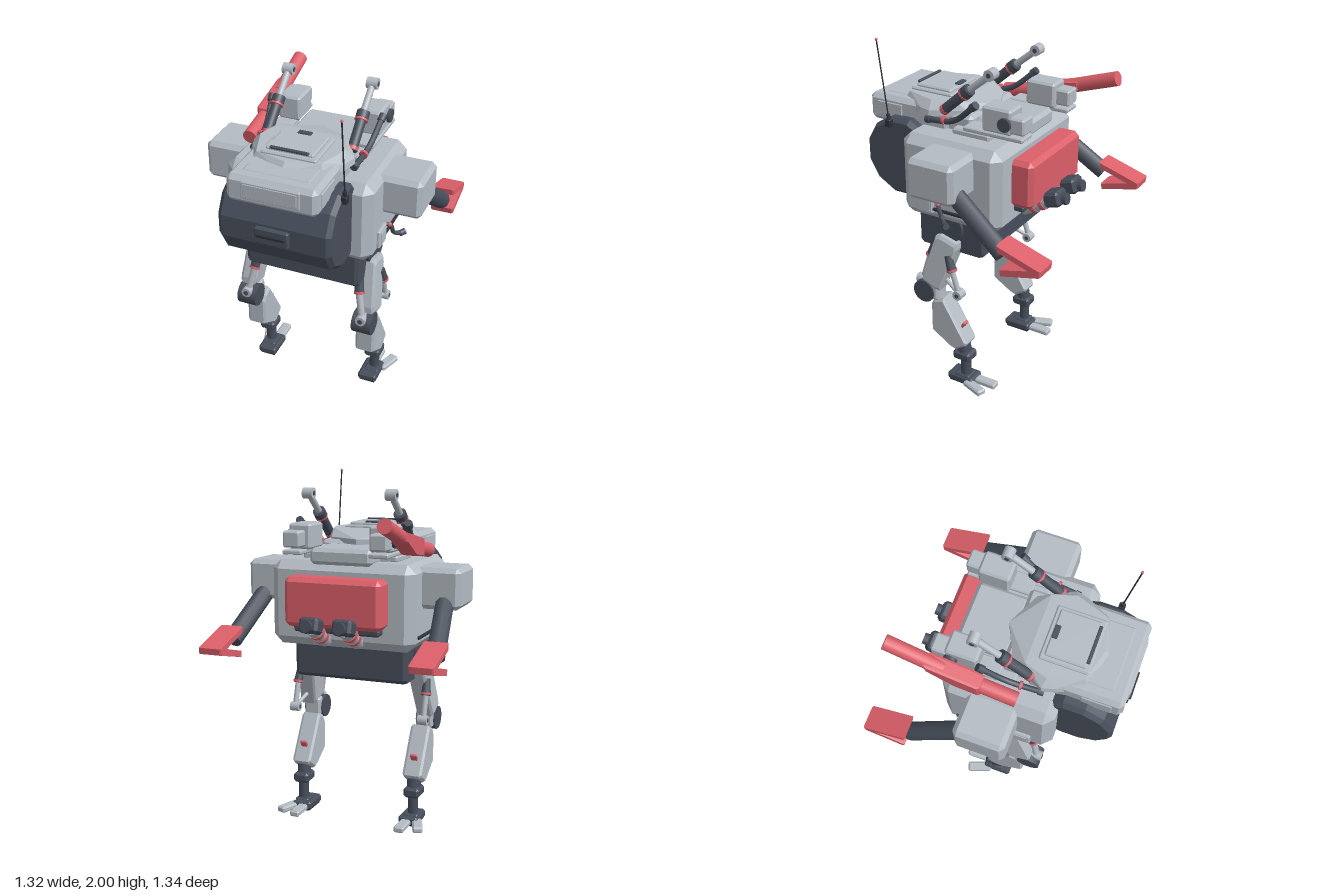
import * as THREE from 'three';
import { ConvexGeometry } from 'three/addons/geometries/ConvexGeometry.js';

const mat = (name, color) => Object.assign(new THREE.MeshStandardMaterial({ color }), { name });
const V = (x, y, z) => new THREE.Vector3(x, y, z);

export function createModel() {
  const model = new THREE.Group();
  const grey = mat('armourGrey', 0xb4bbc3);
  const dark = mat('frameSlate', 0x474e5b);
  const red = mat('accentRed', 0xdc606a);
  const black = mat('ventBlack', 0x2d323b);

  const add = (name, geo, m) => {
    const mesh = new THREE.Mesh(geo, m);
    mesh.name = name;
    model.add(mesh);
    return mesh;
  };
  const hull = (name, m, pts) => add(name, new ConvexGeometry(pts), m);

  // box with every edge chamfered, given by centre and size
  const box = (name, m, [x, y, z], [w, h, d], c = 0.01) => {
    const pts = [];
    for (const i of [-0.5, 0.5]) for (const j of [-0.5, 0.5]) for (const k of [-0.5, 0.5])
      for (let a = 0; a < 3; a++)
        pts.push(V(i * (w - (a === 0 ? 0 : 2 * c)), j * (h - (a === 1 ? 0 : 2 * c)), k * (d - (a === 2 ? 0 : 2 * c))));
    const mesh = hull(name, m, pts);
    mesh.position.set(x, y, z);
    return mesh;
  };

  // convex side profile of [z, y] points spread across x, with bevelled ends
  const slab = (name, m, profile, x0, x1, bevel = 0.012, shrink = 0.86, lean = () => 0) => {
    const n = profile.length;
    const cz = profile.reduce((s, p) => s + p[0], 0) / n, cy = profile.reduce((s, p) => s + p[1], 0) / n;
    const dir = Math.sign(x1 - x0), pts = [];
    for (const [x, k] of [[x0, shrink], [x0 + dir * bevel, 1], [x1 - dir * bevel, 1], [x1, shrink]])
      for (const [z, y] of profile) pts.push(V(x + lean(y), cy + (y - cy) * k, cz + (z - cz) * k));
    return hull(name, m, pts);
  };

  // straight rod between two points
  const rod = (name, m, a, b, r, sides = 12, r2 = r) => {
    const A = V(...a), B = V(...b), d = B.clone().sub(A);
    const geo = new THREE.CylinderGeometry(r2, r, d.length(), sides);
    const mesh = add(name, geo, m);
    mesh.position.copy(A).add(B).multiplyScalar(0.5);
    mesh.quaternion.setFromUnitVectors(V(0, 1, 0), d.normalize());
    return mesh;
  };
  const mix = (a, b, t) => a.map((v, i) => v + (b[i] - v) * t);
  // band around a rod from a to b, at fraction t
  const band = (name, m, a, b, t, r, w = 0.04) => rod(name, m, mix(a, b, t - w), mix(a, b, t + w), r);
  const circle = (n, r, cz, cy, o = 0.5) => Array.from({ length: n }, (_, i) => {
    const a = (i + o) / n * Math.PI * 2;
    return [cz + r * Math.cos(a), cy + r * Math.sin(a)];
  });

  // torso and pelvis
  box('torso', grey, [0, 1.295, 0.025], [0.84, 0.475, 0.62], 0.05);
  slab('pelvis', dark, [[0.28, 1.08], [0.28, 0.87], [0.26, 0.85], [-0.125, 0.85], [-0.145, 0.87], [-0.145, 1.08]], -0.335, 0.335, 0.02, 0.94);
  slab('frontDrum', dark, circle(12, 0.234, 0.41, 1.33), -0.315, 0.315, 0.025, 0.9);
  box('drumHandle', dark, [0, 1.33, 0.64], [0.19, 0.095, 0.035], 0.008);
  box('drumHandleBar', black, [0, 1.335, 0.66], [0.16, 0.02, 0.015], 0.004);

  // head
  box('head', grey, [0, 1.573, 0.39], [0.5, 0.155, 0.52], 0.025);
  box('headRoof', grey, [0, 1.645, 0.42], [0.37, 0.02, 0.32], 0.008);
  box('frontVisorFrame', grey, [0, 1.58, 0.645], [0.33, 0.105, 0.02], 0.008);
  box('frontVisor', grey, [0, 1.58, 0.655], [0.29, 0.075, 0.008], 0.002);
  for (const s of [-1, 1]) box('sideVisor', grey, [s * 0.25, 1.573, 0.51], [0.012, 0.085, 0.165], 0.004);
  box('neckDeck', grey, [0, 1.56, 0.17], [0.46, 0.13, 0.36], 0.02);
  const deck = [];
  for (const s of [-1, 1]) {
    for (const [x, z] of [[0.29, 0.23], [0.25, 0.17], [0.19, 0.04], [0, -0.05], [0.27, 0.3], [0.2, 0.45], [0, 0.52]])
      deck.push(V(s * x, 1.605, z), V(s * x * 0.98, 1.635, z * 0.98));
    for (const [x, z] of [[0.2, 0.11], [0.24, 0.24], [0.18, 0.42], [0, 0.47]]) deck.push(V(s * x, 1.68, z));
  }
  hull('headArmour', grey, deck);
  box('hatchFrame', grey, [0, 1.68, 0.297], [0.31, 0.03, 0.27], 0.008);
  box('hatch', grey, [0, 1.695, 0.297], [0.265, 0.03, 0.225], 0.008);
  box('hatchHandle', dark, [0, 1.712, 0.205], [0.075, 0.014, 0.03], 0.003);
  box('hatchVent', dark, [0, 1.712, 0.41], [0.215, 0.014, 0.018], 0.003);

  // rear deck and backpack
  box('rearDeck', grey, [0, 1.56, -0.14], [0.36, 0.09, 0.29], 0.02);
  box('rearDeckStep', grey, [0, 1.545, -0.03], [0.56, 0.04, 0.23], 0.01);
  box('backpack', red, [0, 1.323, -0.335], [0.56, 0.27, 0.145], 0.025);
  box('backpackPlate', dark, [0, 1.17, -0.31], [0.5, 0.04, 0.07], 0.01);
  for (const s of [-1, 1]) {
    const a = [s * 0.095, 1.1, -0.26], b = [s * 0.095, 1.2, -0.44];
    rod('thrusterPipe', grey, a, b, 0.042);
    for (const t of [0.35, 0.65]) band('thrusterRing', red, a, b, t, 0.046, 0.06);
    box('thruster', dark, [s * 0.095, 1.21, -0.45], [0.11, 0.085, 0.1], 0.015).rotation.x = 0.3;
    rod('thrusterNozzle', dark, [s * 0.095, 1.21, -0.47], [s * 0.095, 1.22, -0.525], 0.033);
  }

  // whip antenna on the left of the drum
  box('antennaBase', black, [0.325, 1.53, 0.465], [0.035, 0.045, 0.035], 0.005);
  rod('antennaMount', black, [0.325, 1.55, 0.465], [0.325, 1.58, 0.469], 0.011);
  rod('antenna', black, [0.325, 1.55, 0.465], [0.325, 1.99, 0.522], 0.004, 6);
  add('antennaTip', new THREE.SphereGeometry(0.008, 8, 6), red).position.set(0.325, 1.992, 0.522);

  // bent exhaust on the right
  rod('exhaustFront', red, [-0.365, 1.575, 0.125], [-0.365, 1.615, -0.1], 0.041, 16);
  slab('exhaustBend', red, [[-0.06, 1.56], [-0.06, 1.66], [-0.36, 1.72], [-0.36, 1.67], [-0.2, 1.58]], -0.41, -0.32, 0.012, 0.9);
  rod('exhaustTail', red, [-0.365, 1.665, -0.27], [-0.365, 1.765, -0.575], 0.041, 16);

  for (const s of [-1, 1]) {
    // rear sensor pods
    box('podShelf', grey, [s * 0.25, 1.585, -0.18], [0.11, 0.025, 0.36], 0.006);
    box('pod', grey, [s * 0.235, 1.665, -0.2], [0.13, 0.14, 0.175], 0.012);
    box('podTail', grey, [s * 0.25, 1.655, -0.32], [0.1, 0.09, 0.09], 0.01);
    rod('podLens', dark, [s * 0.26, 1.658, -0.255], [s * 0.318, 1.658, -0.255], 0.038);

    // raised pistons
    const p = [s * 0.243, 1.635, 0.16], q = [s * 0.243, 1.785, -0.01], tip = [s * 0.243, 1.89, -0.14];
    rod('pistonSleeve', dark, p, q, 0.028);
    band('pistonFoot', red, p, q, 0.06, 0.03);
    band('pistonCollar', dark, p, q, 0.9, 0.036, 0.09);
    band('pistonRing', red, p, q, 0.78, 0.037, 0.025);
    rod('pistonRod', grey, q, tip, 0.019);
    rod('pistonEye', grey, [tip[0] - 0.03, tip[1], tip[2]], [tip[0] + 0.03, tip[1], tip[2]], 0.031, 16);
    rod('pistonPin', dark, [tip[0] - 0.033, tip[1], tip[2]], [tip[0] + 0.033, tip[1], tip[2]], 0.013);

    // bent side struts
    const h0 = [s * 0.285, 1.585, 0.24], h1 = [s * 0.3, 1.615, 0.06], h2 = [s * 0.323, 1.735, -0.09];
    add('strut', new THREE.TubeGeometry(new THREE.CatmullRomCurve3([h0, h1, h2].map(a => V(...a))), 10, 0.016, 10), dark);
    band('strutFoot', dark, h0, h1, 0.07, 0.021, 0.08);
    band('strutRing', red, h0, h1, 0.66, 0.024);
    band('strutTip', dark, h1, h2, 0.95, 0.022, 0.1);

    // shoulders, arms and claws
    box('shoulder', grey, [s * 0.49, 1.395, 0.005], [0.28, 0.225, 0.285], 0.025);
    rod('arm', dark, [s * 0.535, 1.335, -0.08], [s * 0.59, 1.09, -0.42], 0.052, 10);
    slab('upperJaw', red, [[-0.415, 1.17], [-0.42, 1.135], [-0.655, 1.06], [-0.67, 1.09]], s * 0.525, s * 0.66, 0.01, 0.95);
    slab('lowerJaw', red, [[-0.43, 1.035], [-0.437, 1.0], [-0.665, 1.055], [-0.67, 1.09], [-0.64, 1.09]], s * 0.525, s * 0.66, 0.01, 0.95);

    // torso side fittings
    box('sideRail', black, [s * 0.423, 1.135, -0.01], [0.02, 0.016, 0.39], 0.003);
    box('sidePanel', grey, [s * 0.425, 1.16, 0.17], [0.025, 0.11, 0.11], 0.008);
    box('sidePanelCover', grey, [s * 0.438, 1.16, 0.17], [0.008, 0.075, 0.075], 0.002);
    const hose = [[0.42, 1.18, 0.08], [0.445, 1.17, 0.07], [0.455, 1.11, 0.04], [0.49, 1.09, 0.0]];
    add('sideHose', new THREE.TubeGeometry(new THREE.CatmullRomCurve3(hose.map(a => V(s * a[0], a[1], a[2]))), 12, 0.012, 8), dark);
    add('hoseCap', new THREE.SphereGeometry(0.014, 10, 8), red).position.set(s * 0.44, 1.178, 0.075);
    rod('hoseEnd', dark, [s * 0.48, 1.09, 0.01], [s * 0.5, 1.095, -0.015], 0.018);

    // hip and thigh
    rod('hipDisc', dark, [s * 0.29, 1.0, 0.07], [s * 0.355, 1.0, 0.07], 0.088, 16);
    slab('thigh', grey, [[0.14, 0.945], [0.11, 0.955], [0.0, 0.925], [0.0, 0.89], [0.1, 0.615], [0.13, 0.615], [0.22, 0.65], [0.22, 0.69]],
      s * 0.29, s * 0.39, 0.014, 0.88, y => s * (0.95 - y) * 0.09);
    const f0 = [s * 0.3, 0.93, 0.155], f1 = [s * 0.325, 0.77, 0.215], f2 = [s * 0.355, 0.625, 0.245];
    rod('frontLegSleeve', dark, f0, f1, 0.027);
    band('frontLegRing', red, f0, f1, 0.95, 0.031, 0.04);
    rod('frontLegRod', grey, f1, f2, 0.02);
    rod('frontLegEye', grey, [f2[0], f2[1], 0.2], [f2[0], f2[1], 0.28], 0.03, 16);
    rod('frontLegPin', dark, [f2[0], f2[1], 0.21], [f2[0], f2[1], 0.284], 0.014);
    const r0 = [s * 0.395, 0.85, 0.05], r1 = [s * 0.4, 0.76, 0.02], r2 = [s * 0.4, 0.625, -0.022];
    rod('rearLegSleeve', dark, r0, r1, 0.02, 12, 0.028);
    band('rearLegRing', red, r0, r1, 0.9, 0.031, 0.06);
    rod('rearLegRod', grey, r1, r2, 0.016);
    rod('rearLegEye', grey, [s * 0.37, r2[1], r2[2]], [s * 0.425, r2[1], r2[2]], 0.028, 16);
    rod('rearLegPin', dark, [s * 0.368, r2[1], r2[2]], [s * 0.428, r2[1], r2[2]], 0.012);
    rod('rearLegBrace', grey, r2, [s * 0.37, 0.68, 0.08], 0.012);

    // knee, shin and ankle
    rod('knee', dark, [s * 0.3, 0.58, 0.21], [s * 0.415, 0.58, 0.21], 0.068, 14);
    box('kneeBlock', grey, [s * 0.357, 0.59, 0.155], [0.1, 0.11, 0.07], 0.012);
    slab('shin', grey, [[0.17, 0.5], [0.15, 0.54], [0.09, 0.56], [-0.065, 0.3], [-0.06, 0.285], [0.01, 0.24], [0.04, 0.25], [0.17, 0.33]],
      s * 0.29, s * 0.405, 0.014, 0.9);
    box('shinMarker', red, [s * 0.347, 0.385, -0.014], [0.04, 0.07, 0.016], 0.003).rotation.x = -0.54;
    rod('ankleNeck', dark, [s * 0.348, 0.29, -0.01], [s * 0.348, 0.2, -0.025], 0.042, 8);
    box('ankle', dark, [s * 0.348, 0.197, -0.022], [0.095, 0.06, 0.115], 0.014);
    rod('ankleStem', dark, [s * 0.348, 0.19, -0.03], [s * 0.348, 0.04, -0.03], 0.03);

    // foot with splayed rear toes
    box('foot', dark, [s * 0.335, 0.033, -0.01], [0.115, 0.05, 0.17], 0.012);
    box('footCap', dark, [s * 0.345, 0.058, -0.02], [0.085, 0.02, 0.1], 0.008);
    box('innerToe', grey, [s * 0.325, 0.026, -0.15], [0.06, 0.036, 0.145], 0.009);
    box('outerToe', grey, [s * 0.405, 0.026, -0.12], [0.058, 0.036, 0.145], 0.009).rotation.y = -s * 0.35;
    box('sole', black, [s * 0.335, 0.006, -0.01], [0.095, 0.012, 0.15], 0.003);
  }
  return model;
}
